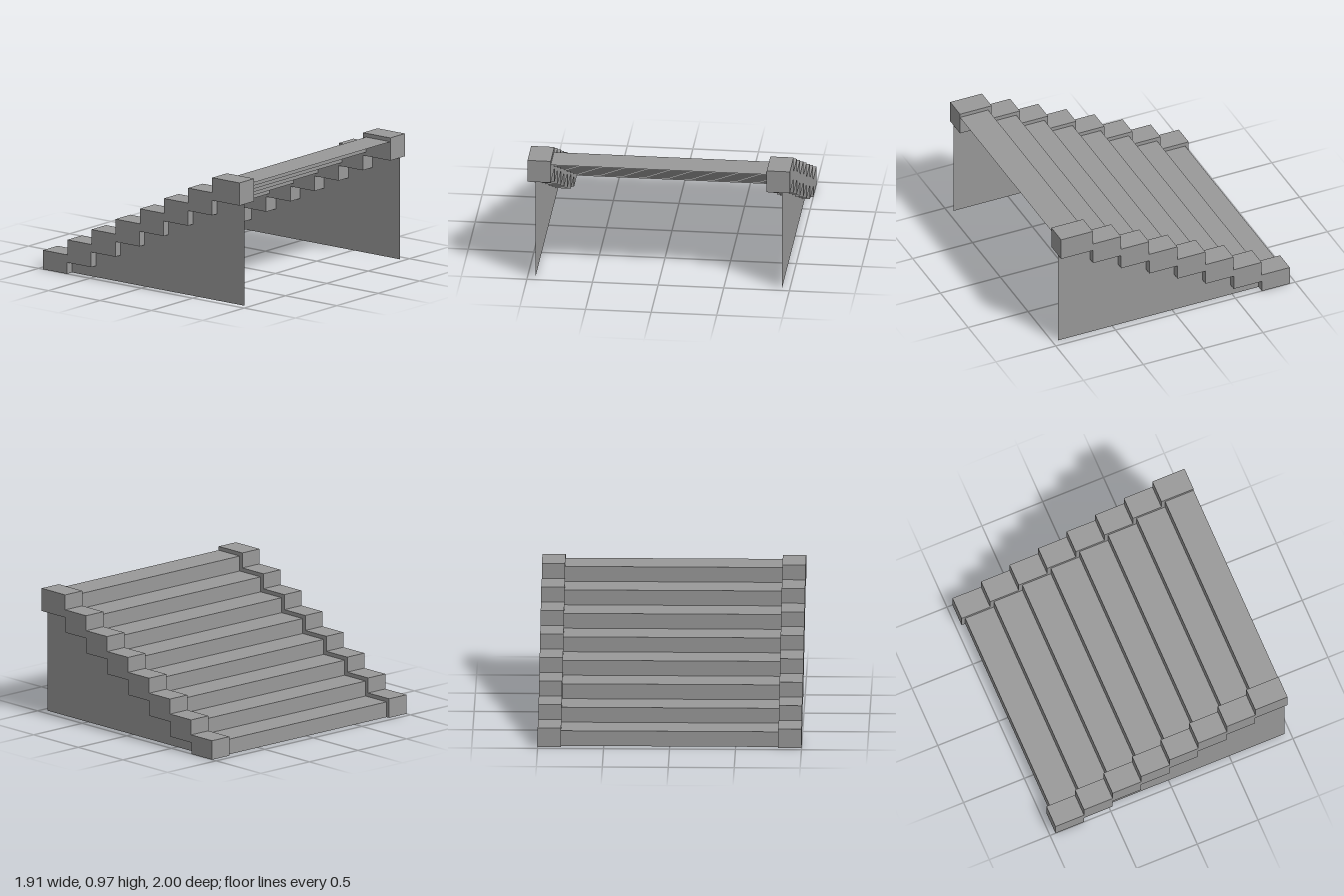
import * as THREE from 'three';

const STEPS = 8, RUN = 0.235, RISE = 0.1173, END = 0.955;
const HALF_INNER = 0.823, CURB_WIDTH = 0.177, WALL_Z = 0.94;

// Stepped outline climbing towards +x: a riser then a tread for each step
function stairLine(x0, y0, firstTop, count) {
  const pts = [[x0, y0]];
  for (let i = 0; i < count; i++) {
    const y = firstTop + i * RISE;
    pts.push([x0 + i * RUN, y]);
    pts.push([i === count - 1 ? END : x0 + (i + 1) * RUN, y]);
  }
  return pts;
}

const toShape = (pts) => new THREE.Shape(pts.map(([x, y]) => new THREE.Vector2(x, y)));

export function createModel() {
  const group = new THREE.Group();
  const solid = new THREE.MeshStandardMaterial({ color: 0x999999, flatShading: true });
  const sheet = new THREE.MeshStandardMaterial({ color: 0x999999, flatShading: true, side: THREE.DoubleSide });
  const add = (name, geometry, material, parent = group) => {
    const mesh = new THREE.Mesh(geometry, material);
    mesh.name = name;
    parent.add(mesh);
    return mesh;
  };

  // Folded sheet of risers and treads
  const stairs = new THREE.Group();
  stairs.name = 'stairs';
  group.add(stairs);
  const fold = stairLine(-0.925, 0, 0.119, STEPS);
  for (let i = 0; i < fold.length - 1; i++) {
    const [xa, ya] = fold[i], [xb, yb] = fold[i + 1];
    const isRiser = i % 2 === 0;
    const geometry = new THREE.PlaneGeometry(isRiser ? yb - ya : xb - xa, HALF_INNER * 2);
    geometry.rotateX(-Math.PI / 2);
    if (isRiser) geometry.rotateZ(Math.PI / 2);
    geometry.translate((xa + xb) / 2, (ya + yb) / 2, 0);
    add(isRiser ? 'riser' : 'tread', geometry, sheet, stairs);
  }

  // Stepped curbs: upper outline forward, lower outline back
  const top = stairLine(-END, 0, 0.149, STEPS);
  const under = stairLine(-0.722, 0, 0.089, STEPS - 1);
  const curbGeometry = new THREE.ExtrudeGeometry(
    toShape([...top, ...[...under].reverse()]),
    { depth: CURB_WIDTH, bevelEnabled: false });

  // Thin side walls filling the space below each curb
  const wallGeometry = new THREE.ShapeGeometry(toShape([...under, [END, 0]]));

  for (const [side, s] of [['front', 1], ['back', -1]]) {
    add(side + 'Curb', curbGeometry, solid).position.z = s > 0 ? HALF_INNER : -HALF_INNER - CURB_WIDTH;
    add(side + 'Wall', wallGeometry, sheet).position.z = s * WALL_Z;
  }
  return group;
}
